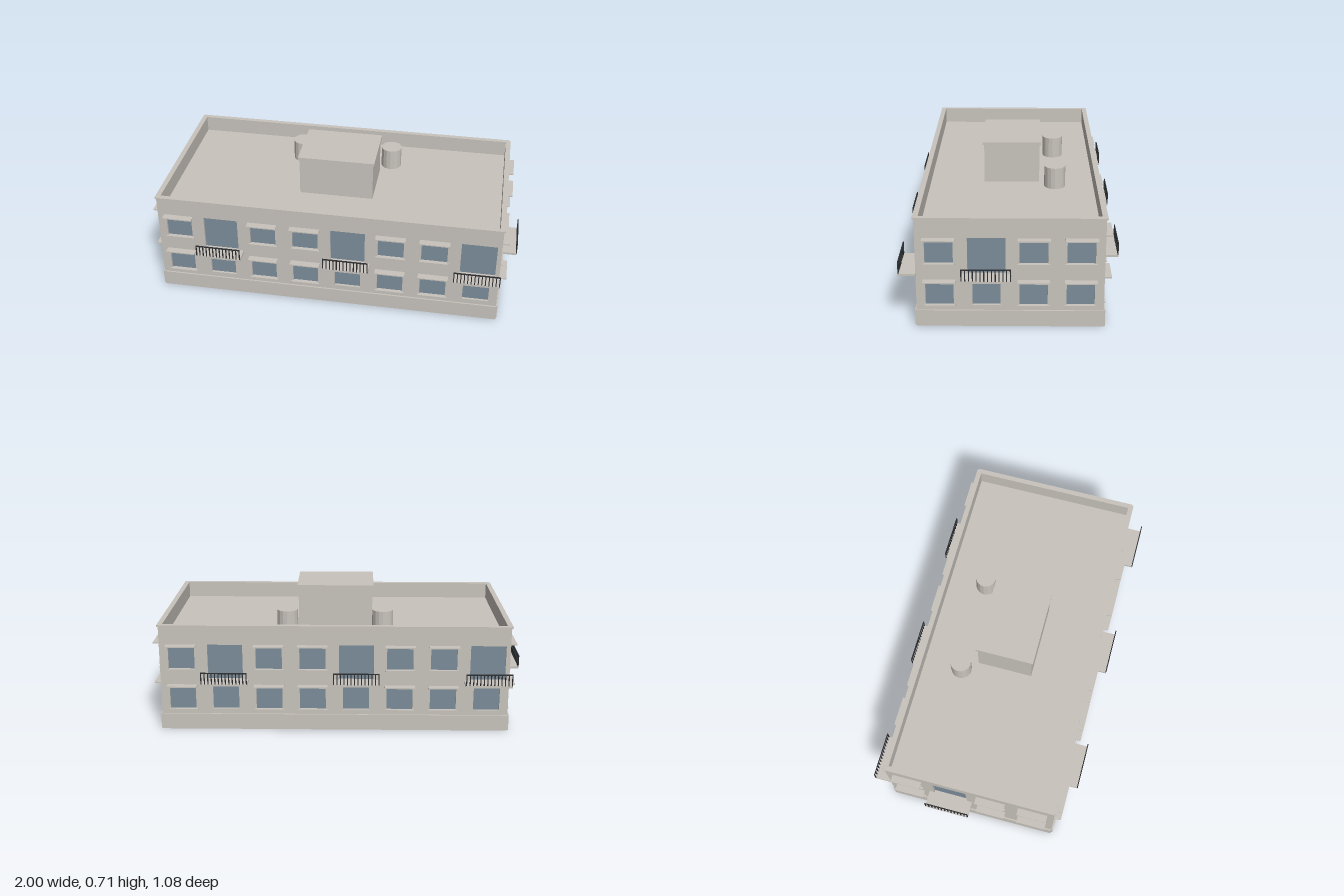
import * as THREE from 'three';

const BAY = 0.2285;      // spacing of window bays
const THICK = 0.02;      // wall thickness
const HEIGHT = 0.573;
const ROOF = 0.485;      // roof deck level, sunk behind the parapet
const HALF_X = BAY * 4, HALF_Z = BAY * 2;

const material = (name, color) => {
  const m = new THREE.MeshStandardMaterial({ color });
  m.name = name;
  return m;
};

export function createModel() {
  const stone = material('stone', 0xc9c4bd);
  const glass = material('glass', 0x7b8d9a);
  const iron = material('iron', 0x2e3033);

  const add = (parent, name, geometry, mat, x = 0, y = 0, z = 0) => {
    const mesh = new THREE.Mesh(geometry, mat);
    mesh.name = name;
    mesh.position.set(x, y, z);
    parent.add(mesh);
    return mesh;
  };
  // box given by centre x, bottom and top, back and front
  const block = (parent, name, mat, x, w, y0, y1, z0, z1) =>
    add(parent, name, new THREE.BoxGeometry(w, y1 - y0, z1 - z0), mat, x, (y0 + y1) / 2, (z0 + z1) / 2);

  const rect = (shape, x0, x1, y0, y1) => {
    shape.moveTo(x0, y0);
    shape.lineTo(x1, y0);
    shape.lineTo(x1, y1);
    shape.lineTo(x0, y1);
    shape.closePath();
    return shape;
  };

  // Slab with an iron railing along its outer edge; z = 0 is the wall face
  const balcony = (x) => {
    const g = new THREE.Group();
    g.name = 'balcony';
    g.position.x = x;
    const w = 0.24, front = 0.085;
    block(g, 'balconySlab', stone, 0, w, 0.268, 0.28, 0, front);
    block(g, 'handrail', iron, 0, w, 0.336, 0.342, front - 0.005, front);
    const bars = 14;
    for (let i = 0; i < bars; i++) {
      const bx = (i / (bars - 1) - 0.5) * (w - 0.005);
      block(g, 'baluster', iron, bx, 0.005, 0.28, 0.337, front - 0.005, front);
    }
    return g;
  };

  // One facade: outer face on z = 0, bays along x, balconies at the listed bays
  const facade = (name, bays, balconyBays, inset) => {
    const g = new THREE.Group();
    g.name = name;
    const half = bays * BAY / 2;
    const wall = rect(new THREE.Shape(), -half + inset, half - inset, 0, HEIGHT);

    const opening = (x, w, y0, y1) => {
      wall.holes.push(rect(new THREE.Path(), x - w / 2, x + w / 2, y0, y1));
      block(g, 'windowPane', glass, x, w, y0, y1, -0.018, -0.013);
    };
    const trim = (x, y0, y1) => {
      block(g, 'windowSill', stone, x, 0.155, y0 - 0.005, y0 + 0.001, 0, 0.01);
      block(g, 'windowHood', stone, x, 0.158, y1, y1 + 0.006, 0, 0.038);
    };

    for (let i = 0; i < bays; i++) {
      const x = (i - (bays - 1) / 2) * BAY;
      opening(x, 0.137, 0.112, 0.24);
      if (balconyBays.includes(i)) {
        opening(x, 0.183, 0.28, 0.468);
        g.add(balcony(x));
      } else {
        opening(x, 0.137, 0.333, 0.462);
        trim(x, 0.112, 0.242);
        trim(x, 0.333, 0.462);
      }
    }

    add(g, 'wall', new THREE.ExtrudeGeometry(wall, { depth: THICK, bevelEnabled: false }), stone, 0, 0, -THICK);
    block(g, 'plinth', stone, 0, half * 2, 0, 0.085, 0, 0.008);
    block(g, 'cornice', stone, 0, half * 2, 0.563, HEIGHT, 0, 0.007);
    return g;
  };

  const building = new THREE.Group();
  building.name = 'building';

  // Opposite facades are the same, turned half a revolution
  for (const s of [1, -1]) {
    const long = facade(s > 0 ? 'frontFacade' : 'backFacade', 8, [1, 4, 7], 0);
    long.position.z = s * HALF_Z;
    long.rotation.y = s > 0 ? 0 : Math.PI;
    // bays run from front to back on the +x end
    const short = facade(s > 0 ? 'leftFacade' : 'rightFacade', 4, [1], THICK);
    short.position.x = s * HALF_X;
    short.rotation.y = s * Math.PI / 2;
    building.add(long, short);
  }

  // Roof deck, stair house and tanks
  const deck = 2 * (HALF_X - THICK), deckZ = HALF_Z - THICK;
  block(building, 'roofDeck', stone, 0, deck, ROOF - 0.01, ROOF, -deckZ, deckZ);
  block(building, 'stairHouse', stone, 0, 0.4, ROOF, 0.695, -0.148, 0.148);
  block(building, 'stairHouseRoof', stone, 0, 0.414, 0.695, 0.711, -0.156, 0.156);
  const tank = new THREE.CylinderGeometry(0.056, 0.056, 0.6 - ROOF, 16).toNonIndexed();
  tank.computeVertexNormals();
  for (const s of [1, -1]) add(building, 'roofTank', tank, stone, s * 0.255, (0.6 + ROOF) / 2, -0.23);

  return building;
}
